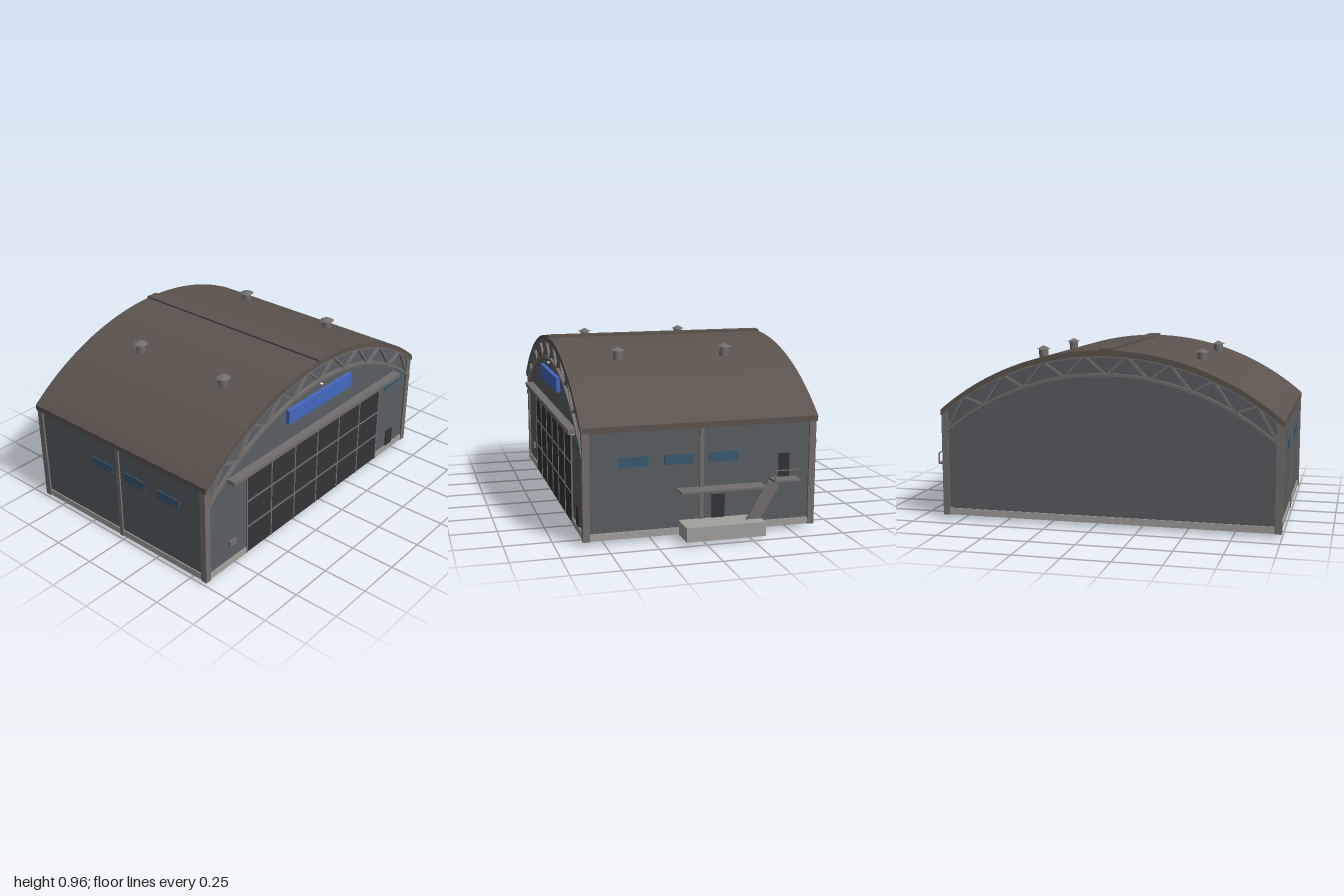
import * as THREE from 'three';
import { toCreasedNormals } from 'three/addons/utils/BufferGeometryUtils.js';

const CX = -0.068; // hangar centre line
const mat = (color) => new THREE.MeshStandardMaterial({ color });
const M = {
  wall: mat(0x5a5e62), roof: mat(0x5c534d), trim: mat(0x736e6e), base: mat(0xa3a19e),
  door: mat(0x343437), glass: mat(0x3a5a70), sign: mat(0x4468c0), lamp: mat(0xfff0c8),
};

// Height of an arc with the given apex and radius at distance d from the centre line
const arcY = (apex, r, d) => apex - r + Math.sqrt(r * r - d * d);

// Points along an arc from -half to +half
function arcPoints(apex, r, half, n = 48) {
  const pts = [];
  for (let i = 0; i <= n; i++) {
    const d = -half + (2 * half * i) / n;
    pts.push(new THREE.Vector2(CX + d, arcY(apex, r, d)));
  }
  return pts;
}

function extrude(pts, z0, z1) {
  const g = new THREE.ExtrudeGeometry(new THREE.Shape(pts), { depth: z1 - z0, bevelEnabled: false });
  g.translate(0, 0, z0);
  return toCreasedNormals(g, 0.4);
}

// Curved band of constant vertical thickness
function band(apex, r, half, t, z0, z1) {
  const top = arcPoints(apex, r, half);
  const under = top.map((p) => new THREE.Vector2(p.x, p.y - t)).reverse();
  return extrude([...top, ...under], z0, z1);
}

export function createModel() {
  const model = new THREE.Group();
  const add = (parent, name, geo, material) => {
    const m = new THREE.Mesh(geo, material);
    m.name = name;
    parent.add(m);
    return m;
  };
  // Box given by its extents on each axis
  const box = (parent, name, material, x0, x1, y0, y1, z0, z1) => {
    const m = add(parent, name, new THREE.BoxGeometry(x1 - x0, y1 - y0, z1 - z0), material);
    m.position.set((x0 + x1) / 2, (y0 + y1) / 2, (z0 + z1) / 2);
    return m;
  };
  const group = (name) => {
    const g = new THREE.Group();
    g.name = name;
    model.add(g);
    return g;
  };

  // Walls with curved gables
  const half = 0.92;
  add(model, 'walls', extrude([
    new THREE.Vector2(CX + half, 0.022), ...arcPoints(0.935, 1.44, half).reverse(),
    new THREE.Vector2(CX - half, 0.022),
  ].reverse(), -0.63, 0.6), M.wall);

  // Barrel roof and ridge cap
  add(model, 'roof', band(0.95, 1.442, 0.9325, 0.03, -0.648, 0.618), M.roof);
  box(model, 'ridgeCap', M.roof, CX - 0.035, CX + 0.035, 0.935, 0.96, -0.65, 0.62);

  // Roof vents
  const vents = group('roofVents');
  for (const x of [-0.52, 0.385]) for (const z of [-0.287, 0.315]) {
    const body = add(vents, 'ventBody', new THREE.CylinderGeometry(0.026, 0.026, 0.065, 10), M.trim);
    body.position.set(x, 0.895, z);
    const cap = add(vents, 'ventCap', new THREE.ConeGeometry(0.04, 0.02, 12), M.trim);
    cap.position.set(x, 0.932, z);
  }

  // Corner posts, side posts and plinth
  const frame = group('posts');
  for (const s of [-1, 1]) {
    const x = CX + s * 0.913;
    for (const z of [0.593, -0.622]) {
      box(frame, 'cornerPost', M.trim, x - 0.018, x + 0.018, 0.02, 0.59, z - 0.018, z + 0.018);
    }
    const xm = CX + s * 0.92;
    box(frame, 'sidePost', M.trim, xm - 0.01, xm + 0.01, 0.02, 0.58, -0.024, -0.002);
  }
  const plinth = group('plinth');
  for (const s of [-1, 1]) {
    const x = CX + s * 0.92;
    box(plinth, 'sidePlinth', M.base, x - 0.006, x + 0.006, 0.021, 0.058, -0.604, 0.575);
  }
  box(plinth, 'backPlinth', M.base, CX - 0.895, CX + 0.895, 0.021, 0.058, -0.636, -0.624);
  box(plinth, 'frontPlinth', M.base, CX - 0.895, -0.67, 0.021, 0.058, 0.594, 0.606);
  box(plinth, 'frontPlinth', M.base, 0.54, CX + 0.895, 0.021, 0.058, 0.594, 0.606);

  // Arched trusses on both gables
  const N = 8, upper = (d) => arcY(0.922, 1.442, d), lower = (d) => arcY(0.82, 1.384, d);
  for (const [name, z0, z1] of [['frontTruss', 0.6, 0.617], ['backTruss', -0.647, -0.63]]) {
    const truss = group(name);
    add(truss, 'topChord', band(0.93, 1.442, 0.925, 0.018, z0, z1), M.trim);
    add(truss, 'bottomChord', band(0.83, 1.384, 0.925, 0.016, z0, z1), M.trim);
    const strut = (d0, y0, d1, y1) => {
      const len = Math.hypot(d1 - d0, y1 - y0);
      const m = add(truss, 'web', new THREE.BoxGeometry(len, 0.011, z1 - z0 - 0.003), M.trim);
      m.position.set(CX + (d0 + d1) / 2, (y0 + y1) / 2, (z0 + z1) / 2);
      m.rotation.z = Math.atan2(y1 - y0, d1 - d0);
    };
    for (let i = 0; i < N; i++) {
      const a = -0.91 + (1.82 * i) / N, b = a + 1.82 / N, mid = (a + b) / 2;
      strut(a, lower(a), mid, upper(mid));
      strut(mid, upper(mid), b, lower(b));
    }
  }

  // Main hangar door with bars
  const door = group('hangarDoor');
  const [dx0, dx1, dy0, dy1] = [-0.67, 0.54, 0.022, 0.507];
  box(door, 'doorPanel', M.door, dx0, dx1, dy0, dy1, 0.59, 0.604);
  for (let i = 0; i <= 6; i++) {
    const x = dx0 + ((dx1 - dx0) * i) / 6;
    box(door, 'uprightBar', M.trim, x - 0.004, x + 0.004, dy0, dy1, 0.6, 0.608);
  }
  for (const y of [0.188, 0.35, 0.503]) {
    box(door, 'crossBar', M.trim, dx0, dx1, y - 0.004, y + 0.004, 0.6, 0.608);
  }

  // Front fittings
  box(model, 'frontCanopy', M.trim, -0.82, 0.69, 0.542, 0.566, 0.595, 0.648);
  box(model, 'signBoard', M.sign, -0.35, 0.21, 0.675, 0.757, 0.595, 0.622);
  box(model, 'frontDoor', M.door, 0.655, 0.72, 0.058, 0.162, 0.595, 0.607);
  box(model, 'frontWindow', M.glass, 0.6, 0.78, 0.47, 0.51, 0.595, 0.603);
  box(model, 'controlBox', M.trim, -0.81, -0.76, 0.14, 0.172, 0.595, 0.612);
  for (const [x, y] of [[-0.795, 0.537], [0.665, 0.537], [CX, 0.803]]) {
    const lamp = add(model, 'lamp', new THREE.SphereGeometry(0.009, 10, 8), M.lamp);
    lamp.scale.y = 0.6;
    lamp.position.set(x, y, 0.618);
  }

  // Side windows
  const windows = group('sideWindows');
  for (const s of [-1, 1]) for (const z of [0.348, 0.108, -0.135]) {
    const x = CX + s * 0.92;
    box(windows, 'sideWindow', M.glass, x - 0.005, x + 0.005, 0.394, 0.446, z - 0.078, z + 0.078);
  }

  // Loading dock, its door and awning
  box(model, 'loadingDock', M.base, 0.85, 1, 0.021, 0.096, -0.316, 0.108);
  box(model, 'dockDoor', M.door, 0.845, 0.858, 0.096, 0.22, -0.14, -0.07);
  box(model, 'dockAwning', M.trim, 0.85, 0.947, 0.257, 0.267, -0.338, 0.12);

  // Upper door, landing, railing and stair
  box(model, 'upperDoor', M.door, 0.845, 0.858, 0.29, 0.416, -0.496, -0.436);
  const landing = group('landing');
  box(landing, 'platform', M.trim, 0.85, 0.935, 0.281, 0.29, -0.53, -0.386);
  box(landing, 'topRail', M.trim, 0.929, 0.935, 0.341, 0.346, -0.53, -0.386);
  for (const z of [-0.528, -0.388]) {
    box(landing, 'railPost', M.trim, 0.929, 0.935, 0.285, 0.346, z - 0.002, z + 0.002);
  }
  const stair = add(model, 'stair', new THREE.BoxGeometry(0.008, 0.307, 0.07), M.trim);
  stair.position.set(0.931, 0.15, -0.3025);
  stair.rotation.x = -0.529;

  return model;
}
